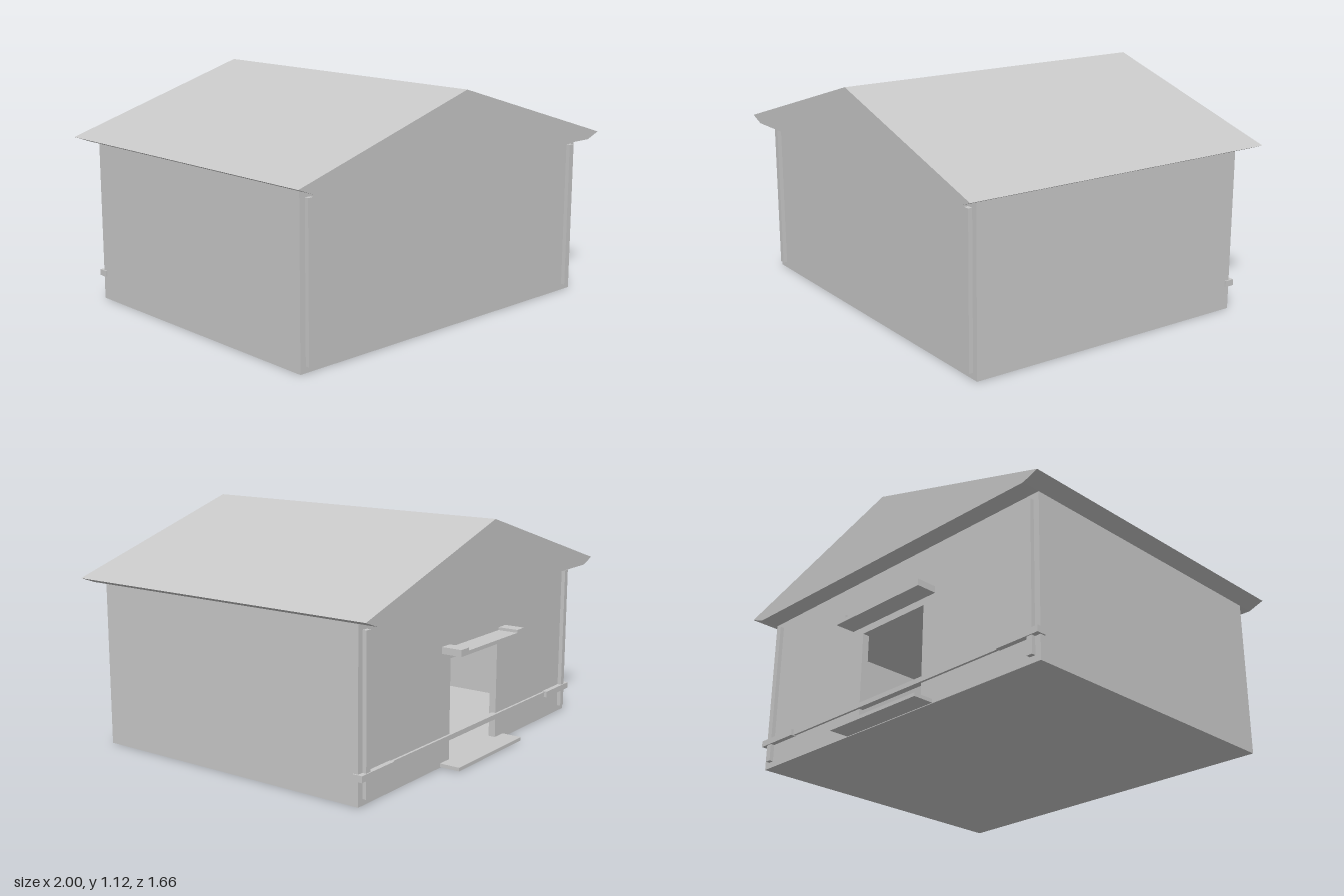
import * as THREE from 'three';

export function createModel() {
  const model = new THREE.Group();
  const grey = new THREE.MeshStandardMaterial({ color: 0xc8c8c8 });
  grey.name = 'plainGrey';

  const add = (name, geometry) => {
    const mesh = new THREE.Mesh(geometry, grey);
    mesh.name = name;
    model.add(mesh);
    return mesh;
  };
  // Box given by its limits on each axis
  const box = (name, x0, x1, y0, y1, z0, z1) =>
    add(name, new THREE.BoxGeometry(x1 - x0, y1 - y0, z1 - z0))
      .position.set((x0 + x1) / 2, (y0 + y1) / 2, (z0 + z1) / 2);
  const polygon = (points) => new THREE.Shape(points.map(([x, y]) => new THREE.Vector2(x, y)));
  const extrude = (shape, depth) =>
    new THREE.ExtrudeGeometry(shape, { depth, bevelEnabled: false });

  const W = 0.92, H = 0.785, FRONT = 0.745, BACK = -0.73, T = 0.035;

  // Hollow hall: floor, ceiling, front and side walls
  box('floor', -W + T, W - T, 0, 0.02, BACK + T, FRONT - T);
  box('ceiling', -W + T, W - T, H - 0.02, H, BACK + T, FRONT - T);
  box('frontWall', -W, W, 0, H, FRONT - T, FRONT);
  for (const s of [-1, 1]) {
    const xs = [s * W, s * (W - T)].sort((a, b) => a - b);
    box('sideWall', xs[0], xs[1], 0, H, BACK + T, FRONT - T);
  }

  // Back wall with an open doorway
  const wall = polygon([[-W, 0], [W, 0], [W, H], [-W, H]]);
  wall.holes.push(polygon([[-0.21, 0.02], [-0.21, 0.5], [0.21, 0.5], [0.21, 0.02]]));
  add('backWall', extrude(wall, T)).position.z = BACK;

  // Gabled roof with sloping eaves
  const gable = polygon([[-W, H], [W, H], [1, 0.815], [0, 1.12], [-1, 0.815]]);
  add('roof', extrude(gable, 1.655)).position.z = -0.825;

  // Corner battens, and the thicker ends of the back rail and canopy
  for (const s of [-1, 1]) {
    const mirrored = (name, a, b, ...rest) =>
      box(name, Math.min(s * a, s * b), Math.max(s * a, s * b), ...rest);
    mirrored('frontBatten', 0.86, 0.89, 0.03, 0.755, FRONT, 0.765);
    mirrored('backBatten', 0.86, 0.89, 0.03, 0.755, -0.75, BACK);
    mirrored('railEnd', 0.69, 0.927, 0.115, 0.145, -0.755, -0.705);
    mirrored('canopyEnd', 0.22, 0.285, 0.535, 0.567, -0.832, BACK);
  }

  // Rail across the back, door canopy and doorstep
  box('backRail', -0.69, 0.69, 0.118, 0.142, -0.742, -0.71);
  box('canopy', -0.22, 0.22, 0.535, 0.553, -0.832, BACK);
  box('doorstep', -0.285, 0.285, 0.003, 0.02, -0.832, BACK);

  return model;
}
